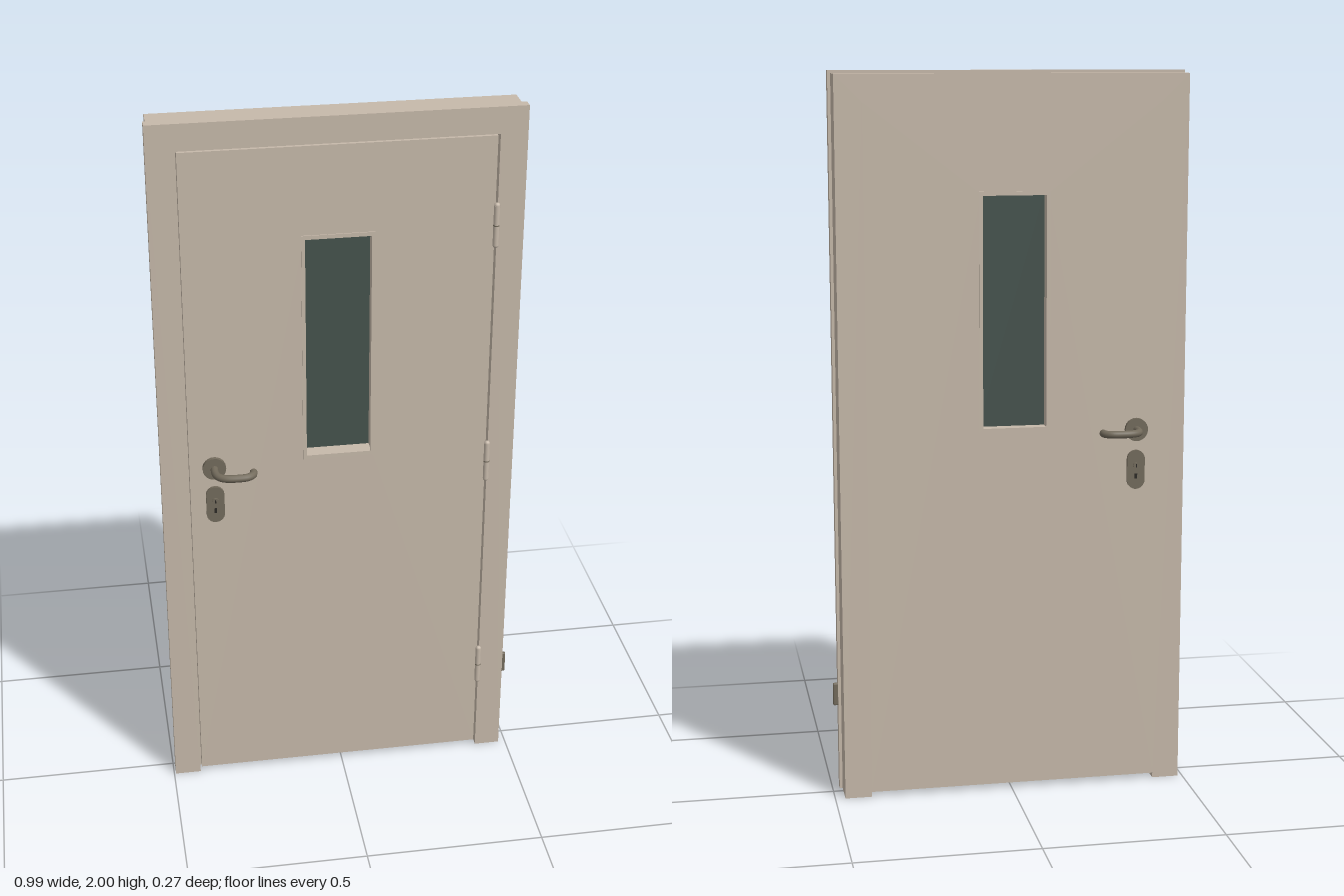
import * as THREE from 'three';
import { RoundedBoxGeometry } from 'three/addons/geometries/RoundedBoxGeometry.js';

const mat = (name, color) => Object.assign(new THREE.MeshStandardMaterial({ color }), { name });

export function createModel() {
  const paint = mat('beige paint', 0xc6b9aa);
  const glass = mat('dark glass', 0x45524d);
  const metal = mat('bronze metal', 0x736b5c);
  const dark = mat('keyhole black', 0x2b2925);
  const model = new THREE.Group();

  const add = (name, geometry, material, x = 0, y = 0, z = 0, parent = model) => {
    const m = new THREE.Mesh(geometry, material);
    m.name = name;
    m.position.set(x, y, z);
    parent.add(m);
    return m;
  };
  const poly = (pts) => pts.map(([x, y]) => new THREE.Vector2(x, y));
  const rect = (x0, y0, x1, y1) => poly([[x0, y0], [x1, y0], [x1, y1], [x0, y1]]);
  const slab = (outline, hole, depth) => {
    const s = new THREE.Shape(outline);
    if (hole) s.holes.push(new THREE.Path(hole));
    return new THREE.ExtrudeGeometry(s, { depth, bevelEnabled: false });
  };
  // Upside-down U outline for the door frame
  const arch = (x0, x1, top, ix0, ix1, itop) =>
    poly([[x0, 0], [ix0, 0], [ix0, itop], [ix1, itop], [ix1, 0], [x1, 0], [x1, top], [x0, top]]);

  // Frame: wide front flange and slightly narrower body behind it
  add('frameFlange', slab(arch(-0.495, 0.48, 2, -0.422, 0.408, 1.928), null, 0.03), paint, 0, 0, 0.02);
  add('frameBody', slab(arch(-0.487, 0.472, 1.992, -0.412, 0.398, 1.918), null, 0.08), paint, 0, 0, -0.06);

  // Rebated leaf with the window opening cut through
  const opening = rect(-0.1, 1.035, 0.083, 1.675);
  add('leafFront', slab(rect(-0.417, 0.014, 0.403, 1.923), opening, 0.026), paint, 0, 0, 0.02);
  add('leafBack', slab(rect(-0.412, 0.014, 0.398, 1.918), opening, 0.08), paint, 0, 0, -0.06);
  add('glassPane', new THREE.BoxGeometry(0.183, 0.64, 0.008), glass, -0.0085, 1.355, -0.006);
  // Window beads, one on each face
  for (const z of [0.046, -0.063]) {
    add('windowBead', slab(rect(-0.106, 1.027, 0.089, 1.682), rect(-0.096, 1.039, 0.079, 1.671), 0.003), paint, 0, 0, z);
  }

  // Lever handle, rose and lock plate, built for the front and turned for the back
  const lever = new THREE.CatmullRomCurve3([
    [-0.35, 0], [-0.35, 0.03], [-0.343, 0.05], [-0.325, 0.062], [-0.29, 0.066],
    [-0.265, 0.063], [-0.25, 0.051], [-0.247, 0.036],
  ].map(([x, z]) => new THREE.Vector3(x, 1.023, z)));

  const lockPlate = () => {
    const s = new THREE.Shape(), r = 0.025;
    s.absarc(0, 0.03, r, 0, Math.PI);
    s.absarc(0, -0.03, r, Math.PI, Math.PI * 2);
    return new THREE.ExtrudeGeometry(s, { depth: 0.007, bevelEnabled: false, curveSegments: 10 });
  };
  const hardware = (name, dir, z) => {
    const g = new THREE.Group();
    g.name = name;
    model.add(g);
    const disc = (n, r, y, depth, m) =>
      add(n, new THREE.CylinderGeometry(r, r, depth, 24), m, -0.35, y, z + dir * depth / 2, g).rotateX(Math.PI / 2);
    disc('rose', 0.032, 1.023, 0.011, metal);
    const pts = lever.getPoints(32).map((p) => new THREE.Vector3(p.x, p.y, z + dir * (p.z + 0.005)));
    const curve = new THREE.CatmullRomCurve3(pts);
    add('lever', new THREE.TubeGeometry(curve, 36, 0.0105, 12), metal, 0, 0, 0, g);
    // Flat end cap on the lever tip
    const end = pts.at(-1);
    const cap = add('leverTip', new THREE.CircleGeometry(0.0105, 12), metal, end.x, end.y, end.z, g);
    cap.lookAt(end.clone().add(curve.getTangent(1)));
    add('lockPlate', lockPlate(), metal, -0.35, 0.91, dir > 0 ? z : z - 0.007, g);
    disc('lockCylinder', 0.009, 0.922, 0.011, metal);
    add('keySlot', new THREE.BoxGeometry(0.003, 0.009, 0.002), dark, -0.35, 0.922, z + dir * 0.0115, g);
    add('lowerKeySlot', new THREE.BoxGeometry(0.007, 0.014, 0.002), dark, -0.35, 0.892, z + dir * 0.0075, g);
  };
  hardware('frontHardware', 1, 0.046);
  hardware('backHardware', -1, -0.06);

  // Three painted barrel hinges along the left edge
  for (const y of [0.295, 0.98, 1.68]) {
    add('hingeBarrel', new THREE.CylinderGeometry(0.008, 0.008, 0.11, 14), paint, 0.406, y, 0.051);
    for (const s of [-1, 1]) {
      add('hingeCap', new THREE.SphereGeometry(0.008, 12, 8), paint, 0.406, y + s * 0.055, 0.051);
    }
    add('hingeJoint', new THREE.CylinderGeometry(0.0084, 0.0084, 0.003, 14), metal, 0.406, y, 0.051);
  }

  // Small fitting on the outer left jamb
  add('sideFitting', new RoundedBoxGeometry(0.016, 0.065, 0.011, 2, 0.004), metal, 0.486, 0.278, 0.027);

  return model;
}
